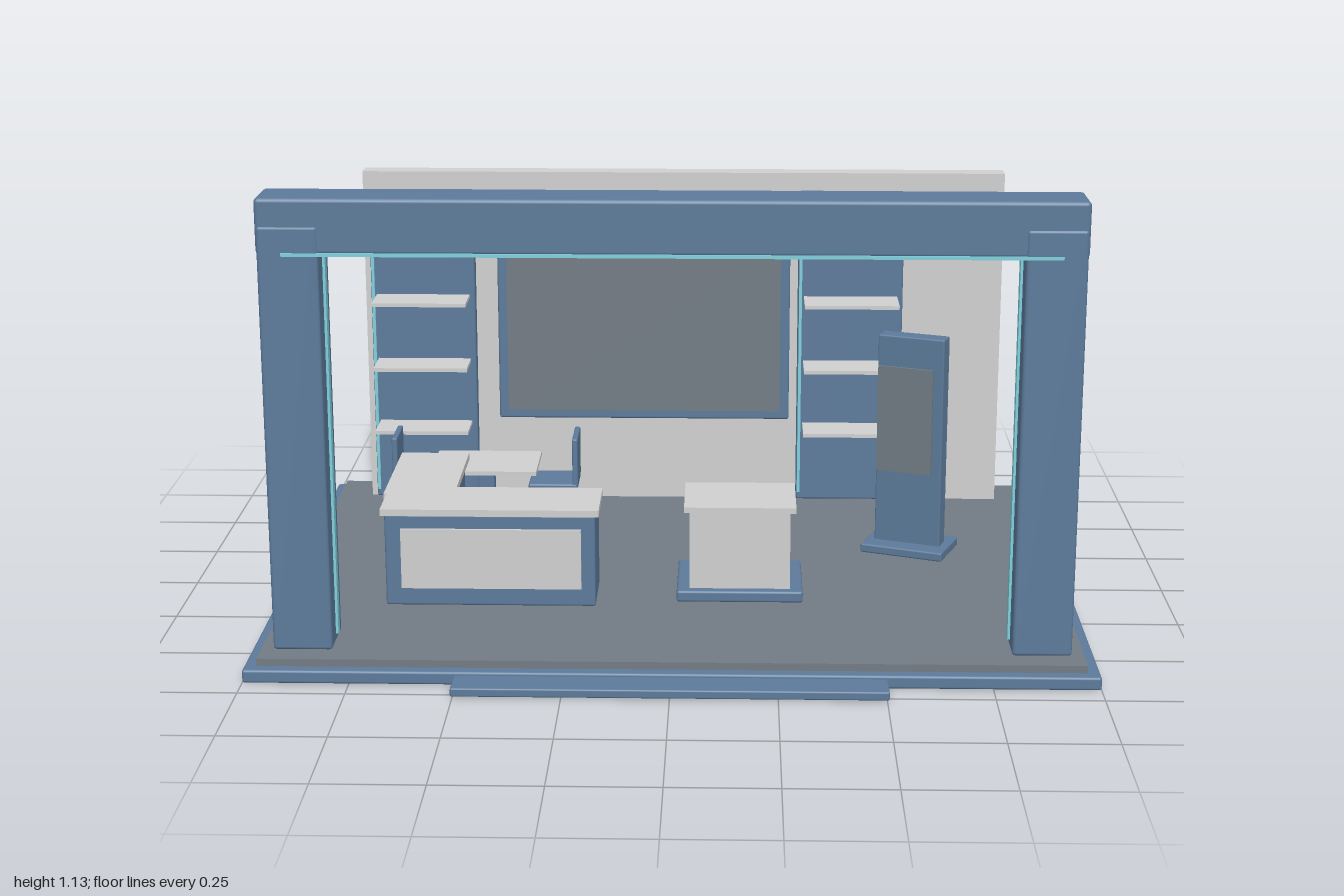
import * as THREE from 'three';
import { RoundedBoxGeometry } from 'three/addons/geometries/RoundedBoxGeometry.js';

const material = (name, color) => {
  const m = new THREE.MeshStandardMaterial({ color });
  m.name = name;
  return m;
};

export function createModel() {
  const blue = material('slate blue', 0x5c7a9a);
  const light = material('light grey', 0xd0d0d0);
  const grey = material('dark grey', 0x727b84);
  const cyan = material('cyan glow', 0x7fd0dc);

  const model = new THREE.Group();
  model.name = 'exhibitionBooth';

  // Box from its ranges along x, y and z; r rounds the edges
  const box = (parent, name, mat, [x0, x1], [y0, y1], [z0, z1], r = 0) => {
    const size = [x1 - x0, y1 - y0, z1 - z0];
    const geometry = r ? new RoundedBoxGeometry(...size, 2, r) : new THREE.BoxGeometry(...size);
    const mesh = new THREE.Mesh(geometry, mat);
    mesh.position.set((x0 + x1) / 2, (y0 + y1) / 2, (z0 + z1) / 2);
    mesh.name = name;
    parent.add(mesh);
    return mesh;
  };
  const group = (name) => {
    const g = new THREE.Group();
    g.name = name;
    model.add(g);
    return g;
  };

  // Platform
  const platform = group('platform');
  box(platform, 'base', blue, [-1, 1], [0, 0.032], [-0.77, 0.69], 0.006);
  box(platform, 'carpet', grey, [-0.97, 0.97], [0.03, 0.05], [-0.741, 0.661]);
  box(platform, 'step', blue, [-0.505, 0.505], [0.003, 0.024], [0.66, 0.77], 0.004);

  // Entrance arch
  const arch = group('entranceArch');
  box(arch, 'beam', blue, [-0.943, 0.943], [1.002, 1.132], [0.468, 0.6], 0.01);
  box(arch, 'beamLight', cyan, [-0.885, 0.885], [0.999, 1.007], [0.592, 0.604]);
  for (const s of [-1, 1]) {
    const span = (a, b) => (s > 0 ? [a, b] : [-b, -a]);
    box(arch, 'post', blue, span(0.8, 0.94), [0.05, 1.068], [0.462, 0.603], 0.008);
    box(arch, 'postLight', cyan, span(0.794, 0.801), [0.07, 1.0], [0.52, 0.545]);
  }

  // Back wall with its large display
  box(model, 'backWall', light, [-0.878, 0.878], [0.05, 0.978], [-0.67, -0.612]);
  const display = group('wallDisplay');
  box(display, 'displayFrame', blue, [-0.51, 0.296], [0.287, 0.823], [-0.612, -0.584], 0.006);
  box(display, 'displayScreen', grey, [-0.484, 0.27], [0.312, 0.798], [-0.586, -0.578]);

  // Two shelf panels
  for (const x of [-0.854, 0.317]) {
    const unit = group('shelfUnit');
    box(unit, 'shelfPanel', blue, [x, x + 0.286], [0.068, 0.936], [-0.582, -0.544], 0.006);
    box(unit, 'panelLight', cyan, [x + 0.003, x + 0.011], [0.09, 0.91], [-0.546, -0.537]);
    for (const y of [0.285, 0.463, 0.644]) {
      box(unit, 'shelf', light, [x + 0.016, x + 0.271], [y - 0.005, y + 0.005], [-0.546, -0.43]);
    }
  }

  // L-shaped reception counter
  const counter = group('receptionCounter');
  box(counter, 'counterFront', blue, [-0.715, -0.195], [0.05, 0.286], [0.118, 0.29], 0.006);
  box(counter, 'counterSide', blue, [-0.725, -0.567], [0.05, 0.281], [-0.195, 0.148], 0.006);
  box(counter, 'frontTop', light, [-0.724, -0.186], [0.284, 0.301], [0.109, 0.298]);
  box(counter, 'sideTop', light, [-0.734, -0.556], [0.279, 0.297], [-0.203, 0.156]);
  box(counter, 'frontPanel', light, [-0.675, -0.23], [0.097, 0.25], [0.289, 0.298]);

  // Display plinth
  const plinth = group('displayPlinth');
  box(plinth, 'plinthBase', blue, [0.004, 0.318], [0.05, 0.079], [0.01, 0.253], 0.006);
  box(plinth, 'plinthBody', light, [0.036, 0.286], [0.078, 0.28], [0.036, 0.23]);
  box(plinth, 'plinthTop', light, [0.022, 0.3], [0.278, 0.292], [0.027, 0.238]);

  // Standing kiosk, turned towards the middle of the booth
  const kiosk = group('kiosk');
  kiosk.position.set(0.61, 0, -0.175);
  kiosk.rotation.y = -0.367;
  box(kiosk, 'kioskBase', blue, [-0.111, 0.111], [0.05, 0.074], [-0.077, 0.077], 0.005);
  box(kiosk, 'kioskBody', blue, [-0.089, 0.089], [0.07, 0.632], [-0.025, 0.025], 0.004);
  box(kiosk, 'kioskScreen', grey, [-0.086, 0.062], [0.267, 0.55], [0.024, 0.031]);

  // Meeting table
  const table = group('table');
  box(table, 'tableTop', light, [-0.663, -0.382], [0.225, 0.236], [-0.43, -0.235]);
  box(table, 'tablePedestal', blue, [-0.543, -0.502], [0.05, 0.226], [-0.353, -0.312]);

  // Two chairs facing each other across the table
  for (const s of [-1, 1]) {
    const chair = group('chair');
    chair.position.set(-0.522, 0, -0.332);
    const span = (a, b) => (s > 0 ? [a, b] : [-b, -a]);
    box(chair, 'seat', blue, span(0.116, 0.248), [0.173, 0.192], [-0.065, 0.065], 0.005);
    box(chair, 'backrest', blue, span(0.234, 0.249), [0.185, 0.317], [-0.064, 0.064], 0.004);
    for (const x of [0.132, 0.234]) {
      for (const z of [-0.051, 0.051]) {
        const leg = new THREE.Mesh(new THREE.CylinderGeometry(0.004, 0.004, 0.125, 10), blue);
        leg.position.set(s * x, 0.1125, z);
        leg.name = 'chairLeg';
        chair.add(leg);
      }
    }
  }

  return model;
}
